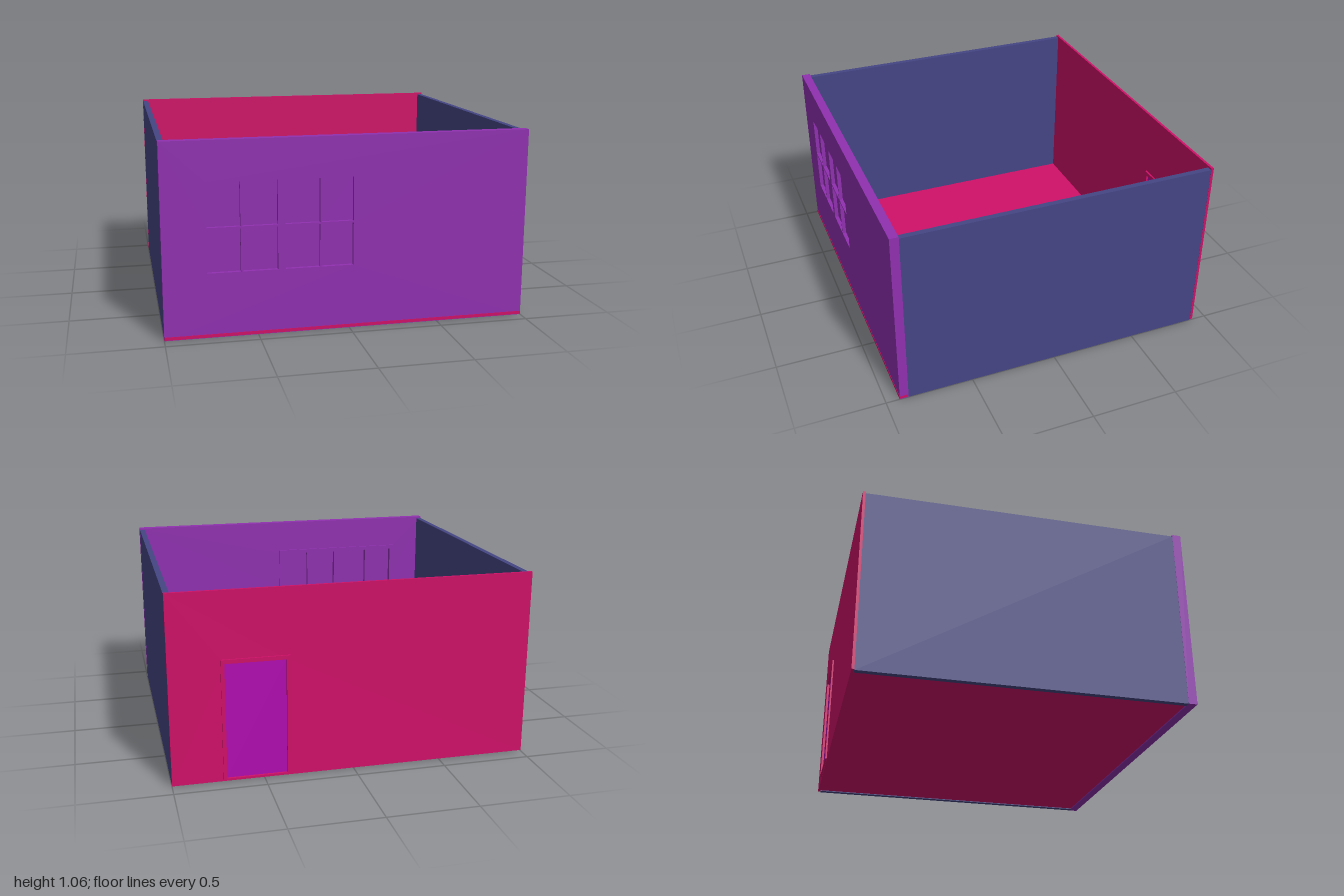
import * as THREE from 'three';

const mat = (color) => new THREE.MeshStandardMaterial({ color });
const purple = mat(0x9030b0), red = mat(0xd01068), blue = mat(0x454585), magenta = mat(0xb00cb0);

// Rectangle outline [x0, y0, x1, y1]
function trace(path, [x0, y0, x1, y1]) {
  path.moveTo(x0, y0);
  path.lineTo(x1, y0);
  path.lineTo(x1, y1);
  path.lineTo(x0, y1);
  path.closePath();
  return path;
}

// Upright slab from z0 to z1 with rectangular openings
function panel(name, material, rect, holes, z0, z1) {
  const shape = trace(new THREE.Shape(), rect);
  shape.holes = holes.map((h) => trace(new THREE.Path(), h));
  const geo = new THREE.ExtrudeGeometry(shape, { depth: z1 - z0, bevelEnabled: false });
  geo.translate(0, 0, z0);
  const mesh = new THREE.Mesh(geo, material);
  mesh.name = name;
  return mesh;
}

// Box given by its limits
function box(name, material, x0, x1, y0, y1, z0, z1) {
  const mesh = new THREE.Mesh(new THREE.BoxGeometry(x1 - x0, y1 - y0, z1 - z0), material);
  mesh.position.set((x0 + x1) / 2, (y0 + y1) / 2, (z0 + z1) / 2);
  mesh.name = name;
  return mesh;
}

export function createModel() {
  const room = new THREE.Group();
  room.name = 'room';

  // Floor, and its edge showing under the front wall
  room.add(box('floor', red, -0.97, 0.97, 0.005, 0.02, -0.9, 0.87));
  room.add(box('floorEdge', red, -1, 1, 0.003, 0.02, 0.875, 0.924));

  // Side walls
  for (const s of [-1, 1]) {
    const wall = box(s > 0 ? 'leftWall' : 'rightWall', blue, -0.016, 0.016, 0, 1.05, -0.9, 0.872);
    wall.position.x = s * 0.983;
    room.add(wall);
  }

  // Front wall pierced by two rows of four window lights
  const columns = [[-0.765, -0.588], [-0.58, -0.39], [-0.35, -0.163], [-0.155, 0.02]];
  const rows = [[0.355, 0.59], [0.6, 0.84]];
  const lights = columns.flatMap(([x0, x1]) => rows.map(([y0, y1]) => [x0, y0, x1, y1]));
  room.add(panel('frontWall', purple, [-1, 0, 1, 1.06], lights, 0.872, 0.922));

  // Window panes and inner trim
  const win = new THREE.Group();
  win.name = 'window';
  for (const [x0, y0, x1, y1] of lights) {
    win.add(box('windowPane', purple, x0, x1, y0, y1, 0.89, 0.9));
  }
  win.add(panel('windowTrim', purple, [-0.79, 0.33, 0.045, 0.865], lights, 0.86, 0.872));
  room.add(win);

  // Back wall with the door opening
  const opening = [0.375, 0.022, 0.705, 0.668];
  room.add(panel('backWall', red, [-1, 0.005, 1, 1.06], [opening], -0.915, -0.9));

  // Door, its frame on both faces and the knob inside
  const door = new THREE.Group();
  door.name = 'door';
  door.add(panel('doorFrame', red, [0.355, 0.015, 0.725, 0.69], [opening], -0.925, -0.89));
  door.add(box('doorLeaf', magenta, 0.375, 0.705, 0.022, 0.668, -0.911, -0.902));
  const knob = new THREE.Mesh(new THREE.SphereGeometry(0.011, 16, 12), magenta);
  knob.name = 'doorKnob';
  knob.position.set(0.67, 0.33, -0.892);
  door.add(knob);
  room.add(door);

  return room;
}
